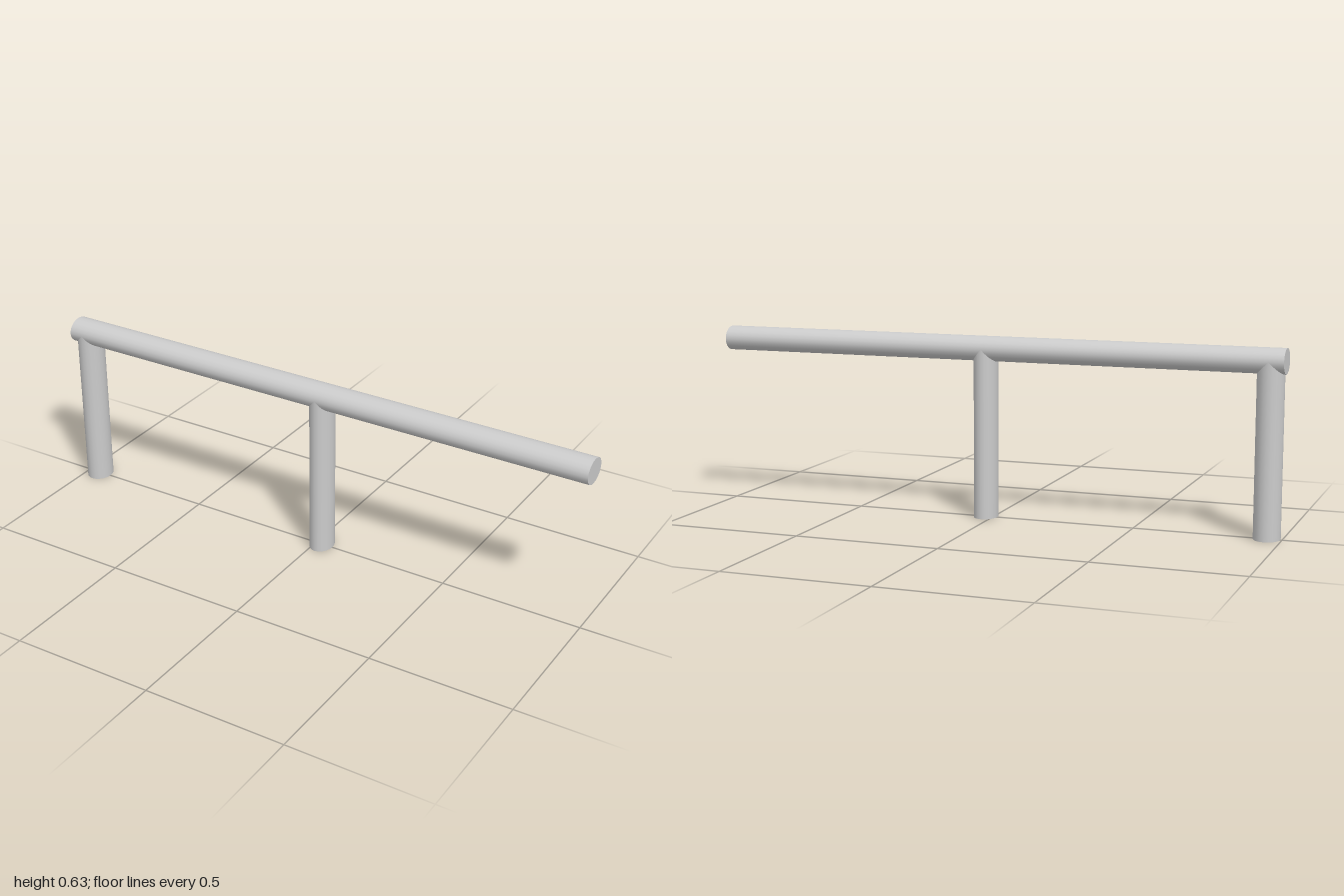
import * as THREE from 'three';

const SIDES = 20;
const RAIL_Y = 0.583;

export function createModel() {
  const group = new THREE.Group();
  const material = new THREE.MeshStandardMaterial({ color: 0xcccccc });

  // Slightly oval bar along y, with half-widths rx and rz
  const bar = (name, rx, rz, length) => {
    const geometry = new THREE.CylinderGeometry(1, 1, length, SIDES);
    geometry.scale(rx, 1, rz);
    const mesh = new THREE.Mesh(geometry, material);
    mesh.name = name;
    group.add(mesh);
    return mesh;
  };

  // Horizontal handrail
  const rail = bar('rail', 0.043, 0.052, 2);
  rail.rotation.z = Math.PI / 2;
  rail.position.y = RAIL_Y;

  // Upright posts, ending inside the rail
  for (const [name, x, rx] of [['endPost', -0.95, 0.045], ['middlePost', 0.025, 0.041]]) {
    bar(name, rx, 0.052, RAIL_Y).position.set(x, RAIL_Y / 2, 0);
  }

  return group;
}
